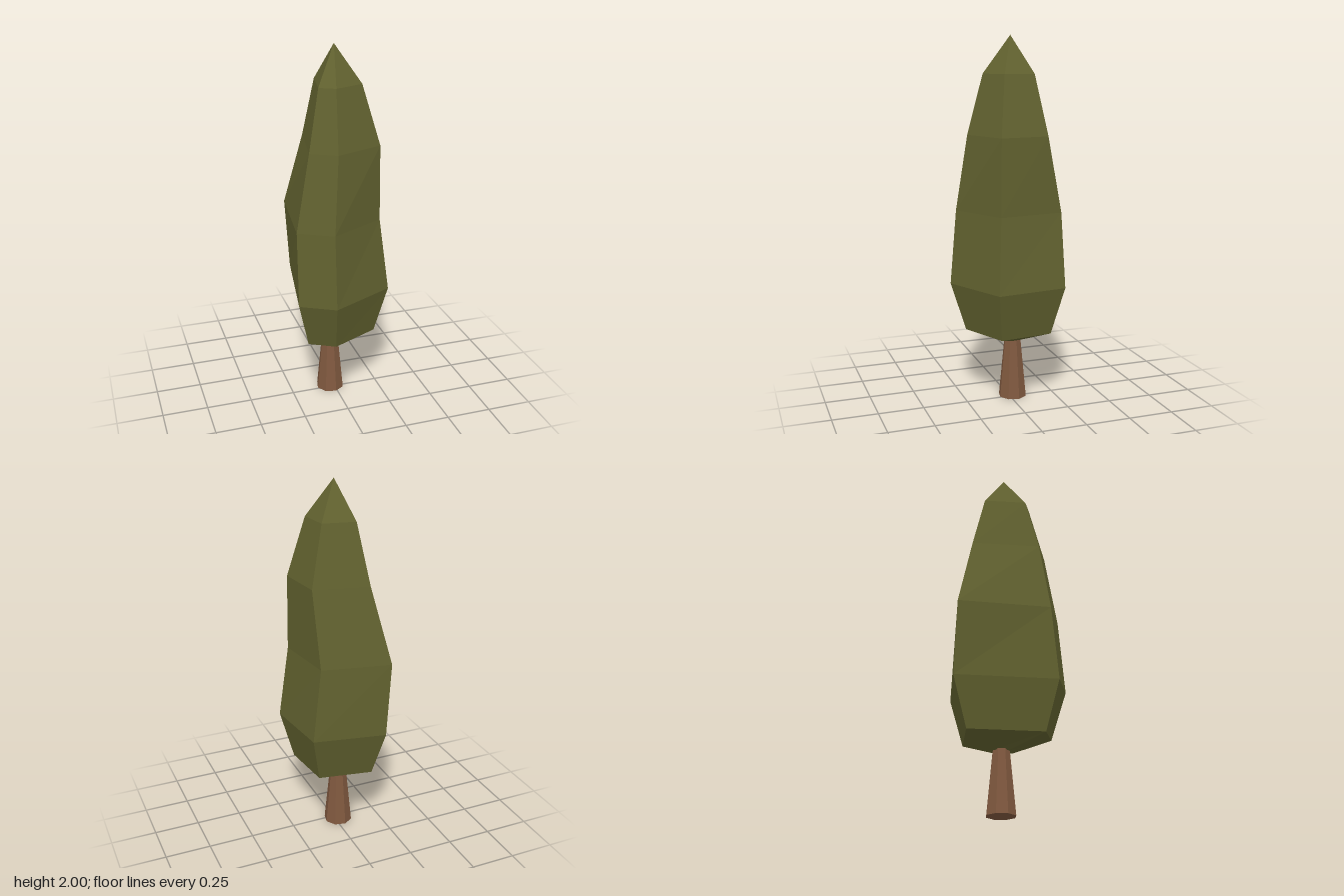
import * as THREE from 'three';

// Joins stacked rings of [x, z] corners into a closed, faceted shell with a pointed tip
function loft(rings, tip) {
  const pos = [];
  const pt = (r, i) => {
    const [x, z] = r.pts[i % r.pts.length];
    return [x, r.y, z];
  };
  const n = rings[0].pts.length;
  for (let i = 0; i < n; i++) {
    for (let k = 0; k < rings.length - 1; k++) {
      const a = pt(rings[k], i), b = pt(rings[k], i + 1);
      const c = pt(rings[k + 1], i + 1), d = pt(rings[k + 1], i);
      pos.push(...a, ...b, ...c, ...a, ...c, ...d);
    }
    const last = rings[rings.length - 1];
    pos.push(...pt(last, i), ...pt(last, i + 1), ...tip);
  }
  // Base cap
  for (let i = 1; i < n - 1; i++) pos.push(...pt(rings[0], 0), ...pt(rings[0], i + 1), ...pt(rings[0], i));
  const g = new THREE.BufferGeometry();
  g.setAttribute('position', new THREE.Float32BufferAttribute(pos, 3));
  g.computeVertexNormals();
  return g;
}

export function createModel() {
  const tree = new THREE.Group();
  tree.name = 'cypressTree';

  const leafGreen = new THREE.MeshStandardMaterial({ color: 0x61612f, flatShading: true });
  leafGreen.name = 'leafGreen';
  const barkBrown = new THREE.MeshStandardMaterial({ color: 0x80593f, flatShading: true });
  barkBrown.name = 'barkBrown';

  // Tapered eight-sided trunk, its top tucked into the crown
  const trunk = new THREE.Mesh(new THREE.CylinderGeometry(0.045, 0.079, 0.35, 8), barkBrown);
  trunk.name = 'trunk';
  trunk.position.set(-0.021, 0.175, -0.022);
  trunk.rotation.y = THREE.MathUtils.degToRad(10);
  tree.add(trunk);

  // Irregular five-sided crown; corners run front, right, back right, back left, front left
  const rings = [
    { y: 0.332, pts: [[-0.045, 0.022], [0.024, 0.002], [0.018, -0.052], [-0.045, -0.062], [-0.062, 0.008]] },
    { y: 0.40, pts: [[-0.065, 0.235], [0.195, 0.113], [0.16, -0.18], [-0.13, -0.235], [-0.2, 0.16]] },
    { y: 0.665, pts: [[-0.085, 0.315], [0.263, 0.147], [0.216, -0.24], [-0.172, -0.318], [-0.265, 0.215]] },
    { y: 1.07, pts: [[-0.085, 0.28], [0.215, 0.122], [0.168, -0.232], [-0.2, -0.311], [-0.262, 0.18]] },
    { y: 1.48, pts: [[-0.05, 0.223], [0.212, 0.118], [0.18, -0.15], [-0.115, -0.215], [-0.182, 0.147]] },
    { y: 1.8, pts: [[-0.035, 0.14], [0.125, 0.072], [0.105, -0.1], [-0.07, -0.135], [-0.115, 0.093]] },
  ];
  const crown = new THREE.Mesh(loft(rings, [-0.003, 2, -0.003]), leafGreen);
  crown.name = 'crown';
  tree.add(crown);

  return tree;
}
